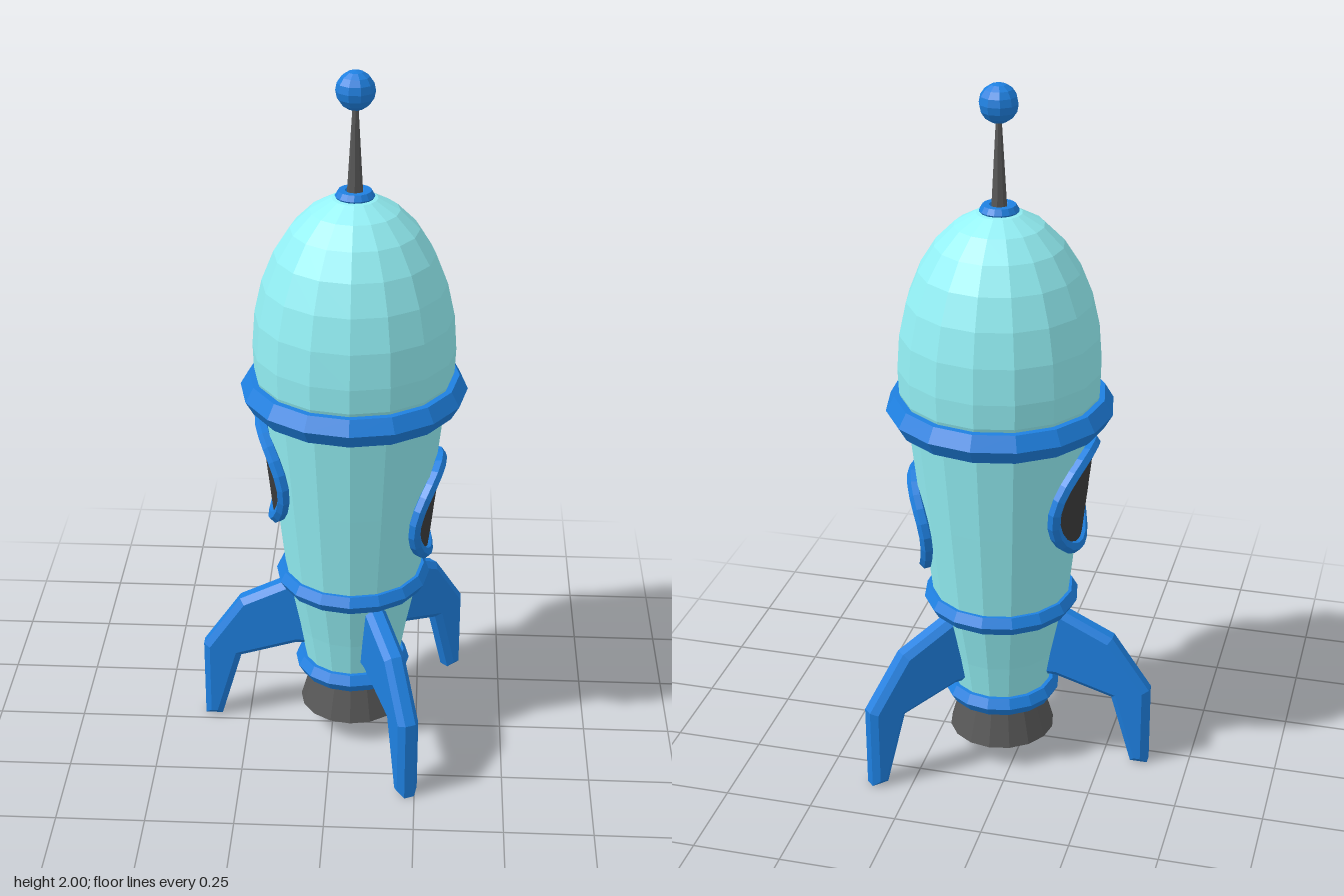
import * as THREE from 'three';

const mat = (color) => new THREE.MeshStandardMaterial({ color, flatShading: true });
const SIDES = 16;

export function createModel() {
  const rocket = new THREE.Group();
  rocket.name = 'rocket';
  // the hull axis sits slightly off the centre because of the uneven fins
  rocket.position.set(0.057, 0, -0.045);

  const shell = mat(0x93f0f5), trim = mat(0x1e80e0), metal = mat(0x585858), dark = mat(0x3c3c3c);

  const add = (name, geometry, material, y = 0) => {
    const mesh = new THREE.Mesh(geometry, material);
    mesh.name = name;
    mesh.position.y = y;
    rocket.add(mesh);
    return mesh;
  };

  // hull: tapering barrel with an elliptical nose dome
  const profile = [[0, 0.19], [0.132, 0.19], [0.158, 0.34], [0.193, 0.51], [0.225, 0.79], [0.258, 1.09], [0.277, 1.15]]
    .map(([r, y]) => new THREE.Vector2(r, y));
  for (let i = 0; i <= 7; i++) {
    const a = (i / 7) * Math.PI / 2;
    profile.push(new THREE.Vector2(0.28 * Math.cos(a), 1.22 + 0.445 * Math.sin(a)));
  }
  add('hull', new THREE.LatheGeometry(profile, SIDES), shell);

  // raised bands around the hull: name, height, radius, thickness
  for (const [name, y, radius, tube] of [
    ['noseBand', 1.1, 0.268, 0.047],
    ['waistBand', 0.51, 0.19, 0.031],
    ['tailBand', 0.21, 0.136, 0.031],
    ['antennaCollar', 1.66, 0.036, 0.018],
  ]) {
    add(name, new THREE.TorusGeometry(radius, tube, 6, SIDES).rotateX(Math.PI / 2), trim, y);
  }

  // engine nozzle
  add('nozzle', new THREE.CylinderGeometry(0.112, 0.152, 0.14, SIDES), metal, 0.14);

  // antenna
  add('antennaRod', new THREE.CylinderGeometry(0.007, 0.022, 0.26, 8), metal, 1.79);
  add('antennaBall', new THREE.SphereGeometry(0.053, 10, 8), trim, 1.948);

  // portholes wrapped around the cone of the hull; side is +1 or -1 along x
  const wrap = (side, cy, u, v, lift) => {
    const r = 0.193 + (cy + v - 0.51) * 0.113 + lift;
    return new THREE.Vector3(side * Math.sqrt(r * r - u * u), cy + v, -side * u);
  };
  const porthole = (name, side, cy, radius) => {
    const glass = new THREE.RingGeometry(0.001, radius, 24, 4);
    const pos = glass.attributes.position;
    for (let i = 0; i < pos.count; i++) {
      const p = wrap(side, cy, pos.getX(i), pos.getY(i), 0.012);
      pos.setXYZ(i, p.x, p.y, p.z);
    }
    glass.computeVertexNormals();
    add(name + 'Glass', glass, dark);

    const path = [];
    for (let i = 0; i < 24; i++) {
      const a = (i / 24) * Math.PI * 2;
      path.push(wrap(side, cy, radius * Math.cos(a), radius * Math.sin(a), 0.01));
    }
    const curve = new THREE.CatmullRomCurve3(path, true);
    add(name + 'Frame', new THREE.TubeGeometry(curve, 24, 0.019, 6, true), trim);
  };
  porthole('leftPorthole', 1, 0.737, 0.143);
  porthole('rightPorthole', -1, 0.85, 0.15);

  // swept landing fins with chamfered edges
  const outline = new THREE.Shape([
    [0.09, 0.26], [0.165, 0.26], [0.33, 0.21], [0.39, 0], [0.44, 0],
    [0.44, 0.246], [0.33, 0.405], [0.165, 0.485], [0.09, 0.485],
  ].map(([x, y]) => new THREE.Vector2(x, y)));
  const finGeometry = new THREE.ExtrudeGeometry(outline, {
    depth: 0.03, bevelEnabled: true, bevelSegments: 1,
    bevelSize: 0.018, bevelThickness: 0.016, bevelOffset: -0.018,
  }).translate(0, 0, -0.015);
  [['rightFin', 180], ['frontFin', -66], ['backFin', 45]].forEach(([name, degrees]) => {
    add(name, finGeometry, trim).rotation.y = THREE.MathUtils.degToRad(degrees);
  });

  return rocket;
}
